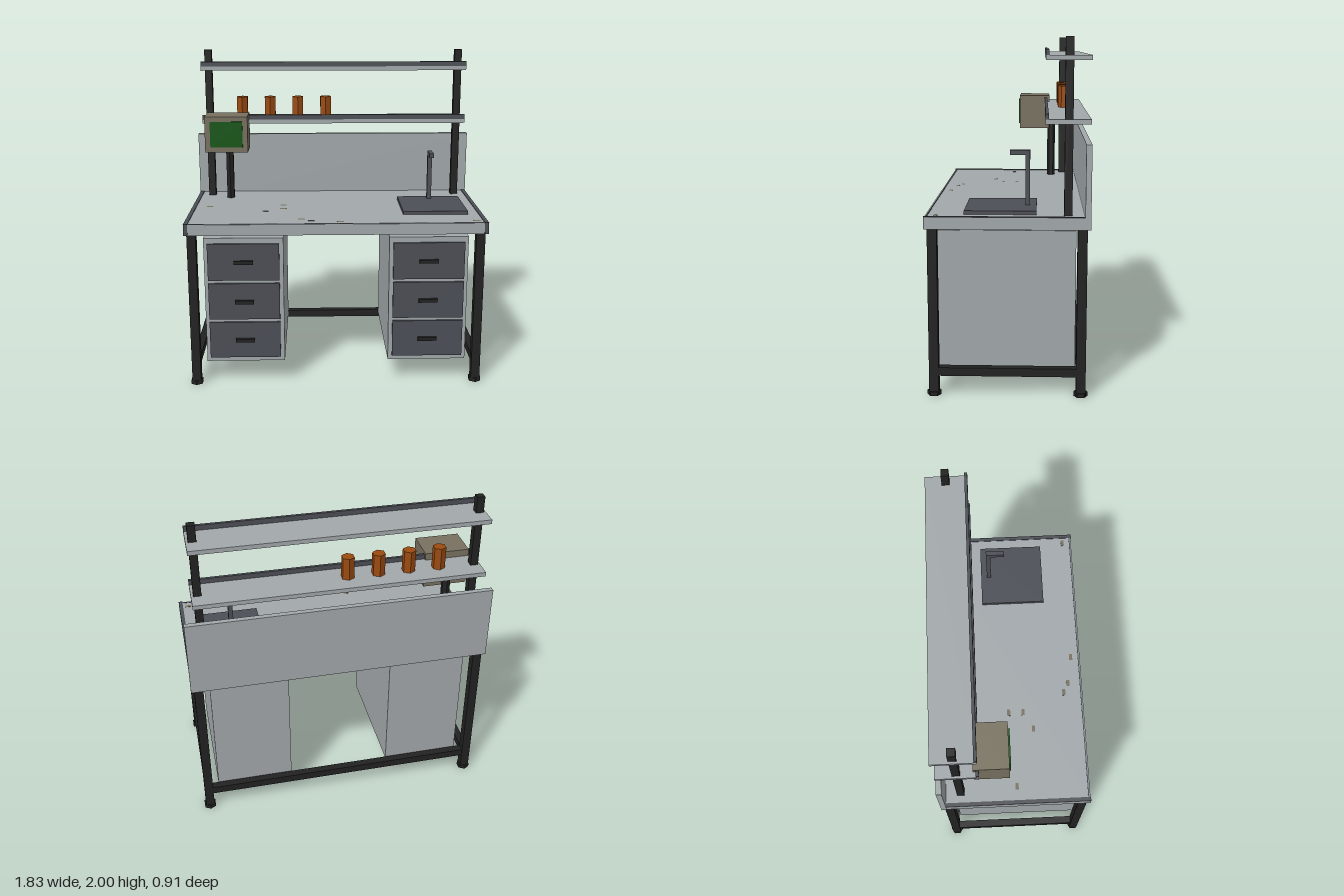
import * as THREE from 'three';

const mat = (name, color) => {
  const m = new THREE.MeshStandardMaterial({ color });
  m.name = name;
  return m;
};

export function createModel() {
  const light = mat('lightGrey', 0xa2a8ab);
  const dark = mat('slateGrey', 0x4c4f56);
  const black = mat('blackSteel', 0x222222);
  const orange = mat('orange', 0x9a4a10);
  const tan = mat('tan', 0x787160);
  const green = mat('screenGreen', 0x0f5510);

  const model = new THREE.Group();
  model.name = 'workbench';

  // box given by its extents on each axis
  const box = (name, m, [x0, x1], [y0, y1], [z0, z1], parent = model) => {
    const mesh = new THREE.Mesh(new THREE.BoxGeometry(x1 - x0, y1 - y0, z1 - z0), m);
    mesh.position.set((x0 + x1) / 2, (y0 + y1) / 2, (z0 + z1) / 2);
    mesh.name = name;
    parent.add(mesh);
    return mesh;
  };
  // upright six-sided prism with a corner towards the front
  const hexPrism = (name, m, r, x, z, y0, y1) => {
    const geo = new THREE.CylinderGeometry(r, r, y1 - y0, 6, 1).toNonIndexed();
    geo.computeVertexNormals();
    const mesh = new THREE.Mesh(geo, m);
    mesh.position.set(x, (y0 + y1) / 2, z);
    mesh.name = name;
    model.add(mesh);
  };

  // worktop and splashback
  box('worktop', light, [-0.91, 0.91], [0.963, 1.03], [-0.455, 0.453]);
  box('splashback', light, [-0.914, 0.914], [0.965, 1.43], [-0.457, -0.425]);
  box('frontTrim', dark, [-0.885, 0.885], [1.03, 1.032], [0.44, 0.446]);

  // small stains on the worktop
  const stains = [[-0.8, 0.01], [-0.33, -0.02], [-0.33, 0.07], [-0.44, 0.13],
    [-0.21, 0.335], [-0.15, 0.365], [0.025, 0.395], [0.85, 0.395]];
  for (const [x, z] of stains) {
    box('stain', tan, [x - 0.02, x + 0.02], [1.03, 1.0315], [z - 0.01, z + 0.01]);
  }

  for (const s of [-1, 1]) {
    const span = (a, b) => (s > 0 ? [a, b] : [-b, -a]);

    // end trims of the worktop
    box('endTrimTop', dark, span(0.886, 0.91), [1.03, 1.034], [-0.425, 0.453]);
    box('endTrimFront', dark, span(0.886, 0.91), [0.965, 1.034], [0.453, 0.456]);

    // legs, feet and side rail
    for (const z of [-0.413, 0.413]) {
      box('leg', black, span(0.841, 0.895), [0.01, 0.963], [z - 0.027, z + 0.027]);
      hexPrism('foot', black, 0.04, s * 0.868, z, 0, 0.025);
    }
    box('sideRail', black, span(0.845, 0.891), [0.117, 0.165], [-0.39, 0.39]);

    // shelf upright
    box('shelfPost', black, span(0.795, 0.841), [1.03, 2], [-0.357, -0.312]);

    // drawer cabinet
    const cabinet = new THREE.Group();
    cabinet.name = 'drawerCabinet';
    model.add(cabinet);
    box('cabinetBody', light, span(0.32, 0.8), [0.145, 0.937], [-0.382, 0.415], cabinet);
    for (const y of [0.288, 0.538, 0.788]) {
      box('drawerFront', dark, span(0.345, 0.778), [y - 0.115, y + 0.115], [0.41, 0.428], cabinet);
      box('drawerHandle', black, span(0.502, 0.618), [y - 0.011, y + 0.011], [0.425, 0.446], cabinet);
    }
  }
  box('backRail', black, [-0.845, 0.845], [0.117, 0.165], [-0.436, -0.39]);

  // shelves with a raised front lip
  for (const y of [1.533, 1.875]) {
    box('shelf', light, [-0.855, 0.855], [y, y + 0.026], [-0.455, -0.207]);
    box('shelfLip', dark, [-0.855, 0.855], [y + 0.026, y + 0.056], [-0.224, -0.207]);
  }

  // jars on the lower shelf
  for (let i = 0; i < 4; i++) {
    hexPrism('jar', orange, 0.04, -0.602 + i * 0.183, -0.33, 1.559, 1.695);
  }

  // monitor on its pole
  hexPrism('monitorPole', black, 0.027, -0.688, -0.255, 1.03, 1.43);
  box('monitorCase', tan, [-0.823, -0.552], [1.375, 1.602], [-0.24, -0.036]);
  box('monitorScreen', green, [-0.789, -0.584], [1.407, 1.571], [-0.036, -0.027]);

  // sink plate and tap
  box('sinkPlate', dark, [0.418, 0.82], [1.03, 1.051], [-0.16, 0.242]);
  box('tapColumn', dark, [0.606, 0.634], [1.05, 1.365], [-0.122, -0.095]);
  box('tapSpout', dark, [0.606, 0.634], [1.338, 1.365], [-0.095, -0.008]);

  return model;
}
